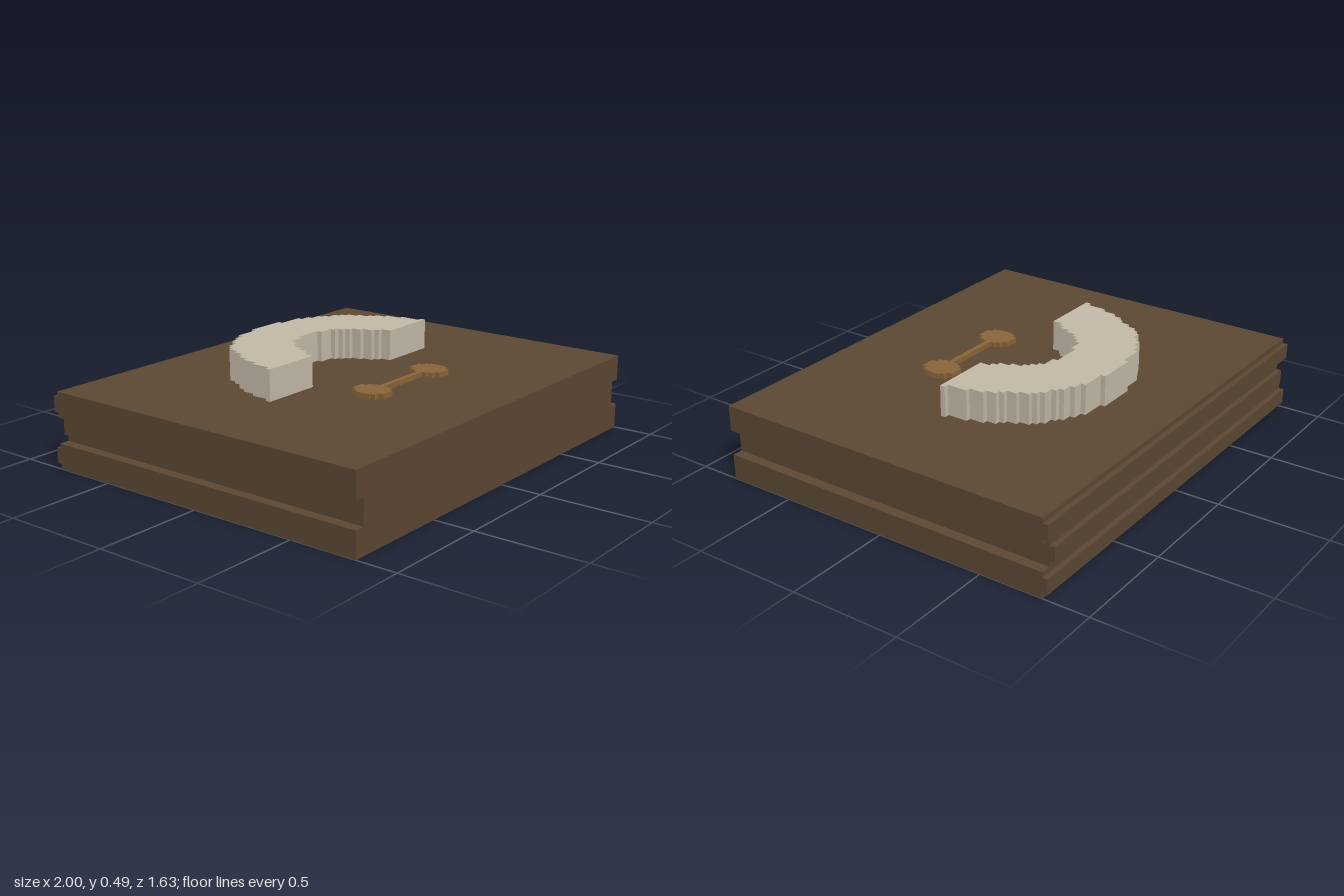
import * as THREE from 'three';

const U = 1 / 43; // one grid step

const mat = (name, color) => Object.assign(new THREE.MeshStandardMaterial({ color }), { name });

// Extrudes an outline given in grid steps
function extrude(name, points, depth, material) {
  const shape = new THREE.Shape(points.map(([x, y]) => new THREE.Vector2(x * U, y * U)));
  const geometry = new THREE.ExtrudeGeometry(shape, { depth: depth * U, bevelEnabled: false });
  const mesh = new THREE.Mesh(geometry, material);
  mesh.name = name;
  return mesh;
}

// Stepped edge from back to front: one half width per row, y = -z
function steps(widths, top) {
  return widths.flatMap((w, i) => [[w, top - i], [w, top - i - 1]])
    .filter(([w], i, all) => i === 0 || i === all.length - 1 || w !== all[i - 1][0] || w !== all[i + 1][0]);
}

const mirror = (points) => points.map(([x, y]) => [-x, y]).reverse();

export function createModel() {
  const group = new THREE.Group();
  group.name = 'carvedPlank';
  const wood = mat('dark brown wood', 0x5c4833);
  const bone = mat('pale stone', 0xc4baa8);
  const bronze = mat('bronze', 0x8b6539);

  // Slab with a groove along each side
  const side = [[43, 0], [43, 5], [41, 5], [41, 10], [43, 10], [43, 15]];
  const slab = extrude('slab', [...side, ...mirror(side)], 69, wood);
  slab.position.z = -34 * U;
  group.add(slab);

  // Raised ribs on the back, the middle one ending at the grooves
  [[1, 86], [6, 82], [11, 86]].forEach(([y, width]) => {
    const rib = new THREE.Mesh(new THREE.BoxGeometry(width * U, 3 * U, U), wood);
    rib.name = 'backRib';
    rib.position.set(0, (y + 1.5) * U, -34.5 * U);
    group.add(rib);
  });

  // Stepped half-ring
  const outer = steps([4, 9, 11, 13, 14, 16, 17, 18, 18, 19, 19, 20, 21, 21, 22, 22, 22, 23, 23, 23, 23, 24], 21);
  const inner = steps([3, 6, 7, 8, 9, 9, 10, 10, 11, 12, 12], 10);
  const arch = extrude('arch', [...outer, ...[...inner].reverse(), ...mirror(inner).reverse(), ...mirror(outer)], 6, bone);
  arch.rotation.x = -Math.PI / 2;
  arch.position.y = 15 * U;
  group.add(arch);

  // Bar with a stepped round knob at each end
  const knobSide = steps([1.5, 2.5, 3, 3, 3, 2.5, 1.5], 3.5);
  for (const s of [-1, 1]) {
    const knob = extrude('knob', [...knobSide, ...mirror(knobSide)], 1, bronze);
    knob.rotation.x = -Math.PI / 2;
    knob.position.set(s * 9 * U, 15 * U, 12.5 * U);
    group.add(knob);
  }
  const bar = new THREE.Mesh(new THREE.BoxGeometry(12 * U, U, U), bronze);
  bar.name = 'bar';
  bar.position.set(0, 15.5 * U, 12.5 * U);
  group.add(bar);

  return group;
}
